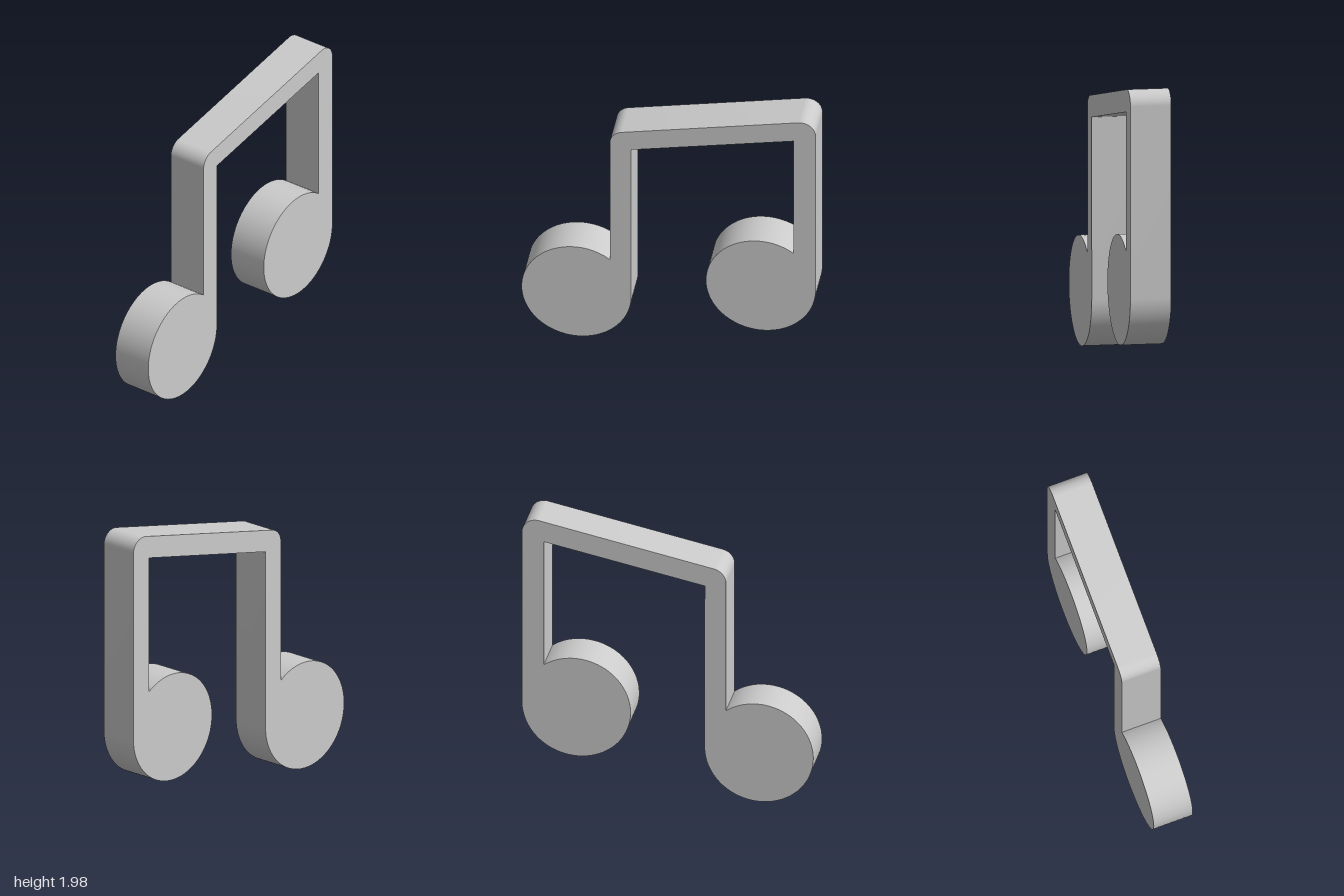
import * as THREE from 'three';
import { toCreasedNormals } from 'three/addons/utils/BufferGeometryUtils.js';

const DEPTH = 0.28;
const HEAD_R = 0.373;
const CORNER_R = 0.1;

// Round note head: leaves the stem's inner edge and ends tangent to its outer edge
function addHead(shape, cx, cy, stemX) {
  const start = Math.acos((stemX - cx) / HEAD_R);
  shape.lineTo(stemX, cy + HEAD_R * Math.sin(start));
  shape.absarc(cx, cy, HEAD_R, start, Math.PI * 2, false);
}

export function createModel() {
  const group = new THREE.Group();
  group.name = 'musicNotes';
  const material = new THREE.MeshStandardMaterial({ color: 0xcccccc });

  // Counter-clockwise outline, starting at the right stem's outer edge
  const beamNormal = Math.PI / 2 + Math.atan2(0.23, 1.2);
  const outline = new THREE.Shape();
  outline.moveTo(1, 0.577);

  // Slanted beam with a rounded corner at each end
  outline.absarc(0.9, 1.88, CORNER_R, 0, beamNormal, false);
  outline.absarc(-0.3, 1.65, CORNER_R, beamNormal, Math.PI, false);

  // Left stem and head, then the underside of the beam
  addHead(outline, -0.627, HEAD_R, -0.4);
  outline.lineTo(-0.255, 1.61);
  outline.lineTo(0.85, 1.82);

  // Right stem and head
  addHead(outline, 0.627, 0.577, 0.85);

  const extruded = new THREE.ExtrudeGeometry(outline, {
    depth: DEPTH, bevelEnabled: false, curveSegments: 48,
  });
  extruded.translate(0, 0, -DEPTH / 2);

  const notes = new THREE.Mesh(toCreasedNormals(extruded, 0.5), material);
  notes.name = 'beamedNotePair';
  group.add(notes);
  return group;
}
